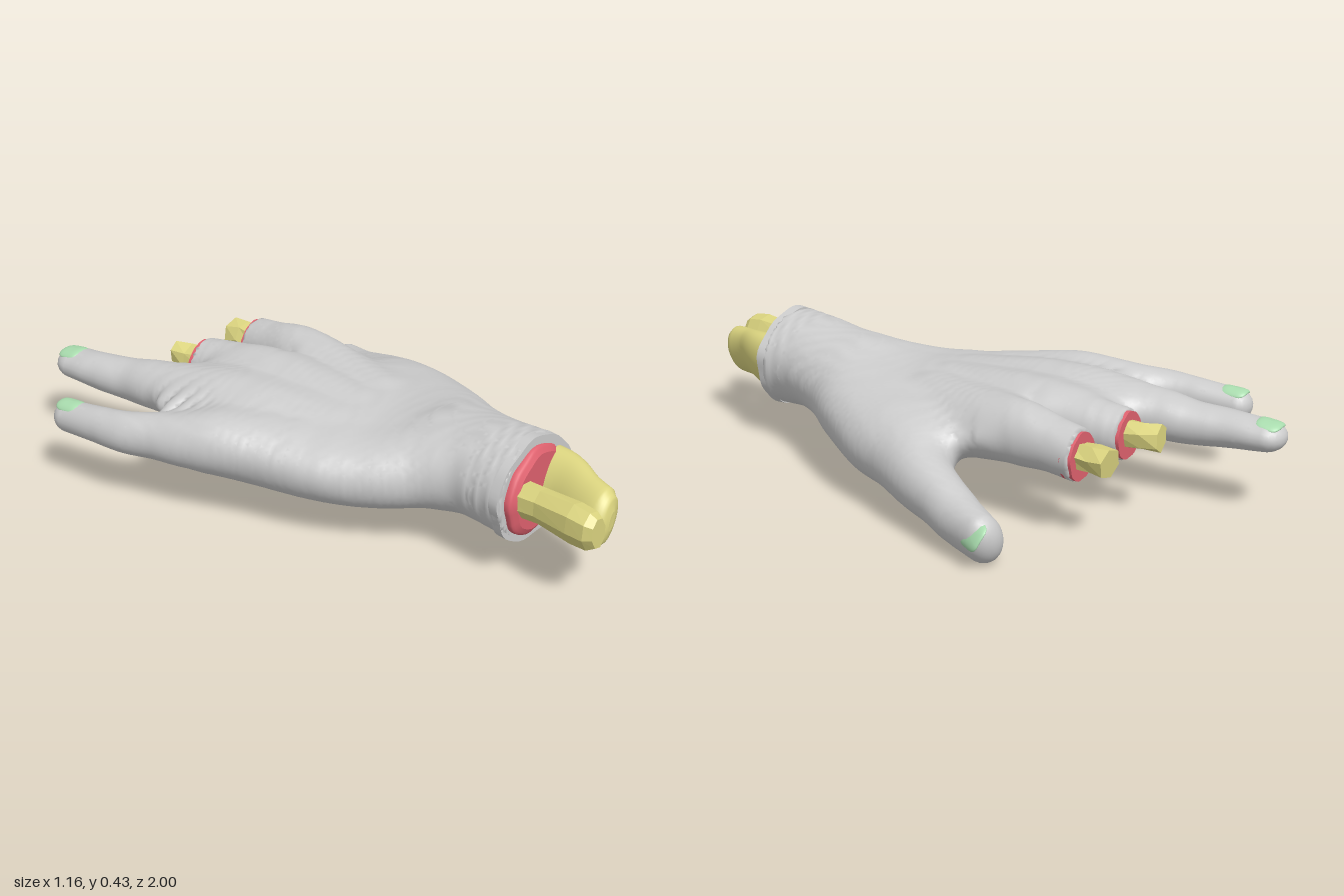
import * as THREE from 'three';

const paint = (color, flatShading = false) => new THREE.MeshStandardMaterial({ color, flatShading });
const SKIN = paint(0xcccccc);
const NAIL = paint(0xa9dcae);
const FLESH = paint(0xe0626f);
const BONE = paint(0xdcd580);
const CHIPPED_BONE = paint(0xdcd580, true);
const UP = new THREE.Vector3(0, 1, 0);

// Smooth run of cross-sections through [x, y, z, halfWidth, halfHeight, roll]
function crossSections(sections, steps) {
  const path = new THREE.CatmullRomCurve3(sections.map(s => new THREE.Vector3(s[0], s[1], s[2])));
  const size = new THREE.CatmullRomCurve3(sections.map(s => new THREE.Vector3(s[3], s[4], s[5] || 0)));
  const count = (sections.length - 1) * steps;
  return Array.from({ length: count + 1 }, (_, i) => {
    const c = path.getPoint(i / count), d = path.getTangent(i / count), s = size.getPoint(i / count);
    const side = new THREE.Vector3().crossVectors(d, UP).normalize().applyAxisAngle(d, -s.z);
    return { c, d, side, up: new THREE.Vector3().crossVectors(side, d), w: s.x, h: s.y };
  });
}

// Closed tube over cross-sections; doubled end rings keep the rims sharp, ragged makes the outline wavy
function loft(name, material, sections, { sides = 40, steps = 4, ragged = 0 } = {}) {
  const body = crossSections(sections, steps);
  const first = body[0], last = body[body.length - 1];
  const rings = [{ ...first, w: 0, h: 0 }, first, ...body, last, { ...last, w: 0, h: 0 }];
  const pos = [], index = [];
  rings.forEach(({ c, side, up, w, h }, i) => {
    for (let j = 0; j < sides; j++) {
      const a = j / sides * Math.PI * 2, r = 1 + ragged * (Math.sin(5 * a) + 0.7 * Math.sin(9 * a + 1));
      const p = c.clone().addScaledVector(side, Math.cos(a) * w * r).addScaledVector(up, Math.sin(a) * h * r);
      pos.push(p.x, p.y, p.z);
      if (i === rings.length - 1) continue;
      const n = i * sides + j, m = i * sides + (j + 1) % sides;
      index.push(n, n + sides, m, m, n + sides, m + sides);
    }
  });
  const geo = new THREE.BufferGeometry();
  geo.setAttribute('position', new THREE.Float32BufferAttribute(pos, 3));
  geo.setIndex(index);
  geo.computeVertexNormals();
  const mesh = new THREE.Mesh(geo, material);
  mesh.name = name;
  return mesh;
}

// A limb is a row of overlapping ellipsoids, sorted into z slabs; cut = z where it is severed
const slab = z => Math.floor((z + 1.5) / 0.04);
function limb(sections, { axial = 0, cut = -2 } = {}) {
  const slabs = Array.from({ length: 80 }, () => []);
  for (const s of crossSections(sections, 8)) {
    const l = axial || s.w, reach = 0.1 + Math.hypot(s.side.z * s.w, s.up.z * s.h, s.d.z * l);
    for (let i = slab(s.c.z - reach); i <= slab(s.c.z + reach); i++) slabs[i].push({ ...s, l });
  }
  return (x, y, z) => {
    let best = 1;
    for (const { c, side, up, d, w, h, l } of slabs[slab(z)]) {
      const px = x - c.x, py = y - c.y, pz = z - c.z;
      const a = (px * side.x + py * side.y + pz * side.z) / w;
      const b = (px * up.x + py * up.y + pz * up.z) / h;
      const e = (px * d.x + py * d.y + pz * d.z) / l;
      const kk = a * a + b * b + e * e;
      if (kk > 9) continue;
      const k = Math.sqrt(kk), aw = a / w, bh = b / h, el = e / l;
      const dist = k * (k - 1) / (Math.sqrt(aw * aw + bh * bh + el * el) + 1e-9);
      if (dist < best) best = dist;
    }
    return Math.max(best, cut - z);
  };
}

function smoothMin(a, b, k) {
  const t = Math.max(k - Math.abs(a - b), 0) / k;
  return Math.min(a, b) - t * t * k / 4;
}

// Meshes the zero surface of a distance rule on a grid, one vertex per crossed cell
function surface(dist, min, max, step) {
  const [nx, ny, nz] = max.map((m, i) => Math.ceil((m - min[i]) / step) + 1);
  const stride = [1, nx, nx * ny];
  const value = new Float32Array(nx * ny * nz).fill(1), vertex = new Int32Array(nx * ny * nz);
  const eachCell = fn => {
    for (let k = 1; k < nz - 1; k++) for (let j = 1; j < ny - 1; j++) for (let i = 1; i < nx - 1; i++) {
      fn(i + j * nx + k * nx * ny, min[0] + i * step, min[1] + j * step, min[2] + k * step);
    }
  };
  eachCell((n, x, y, z) => { value[n] = dist(x, y, z); });
  const pos = [], normal = [], index = [], e = 0.004;
  eachCell((n, x, y, z) => {
    const p = new THREE.Vector3();
    let hits = 0;
    for (let corner = 0; corner < 8; corner++) for (let axis = 0; axis < 3; axis++) {
      if (corner >> axis & 1) continue;
      const m = n + (corner & 1) + (corner >> 1 & 1) * nx + (corner >> 2) * nx * ny;
      const a = value[m], b = value[m + stride[axis]];
      if ((a < 0) === (b < 0)) continue;
      const at = [corner & 1, corner >> 1 & 1, corner >> 2];
      at[axis] = a / (a - b);
      p.add(new THREE.Vector3(...at));
      hits++;
    }
    if (!hits) return;
    // Settle the vertex on the surface and take its normal from the slope
    p.multiplyScalar(step / hits).add(new THREE.Vector3(x, y, z));
    const g = new THREE.Vector3(dist(p.x + e, p.y, p.z) - dist(p.x - e, p.y, p.z),
      dist(p.x, p.y + e, p.z) - dist(p.x, p.y - e, p.z), dist(p.x, p.y, p.z + e) - dist(p.x, p.y, p.z - e)).normalize();
    p.addScaledVector(g, -THREE.MathUtils.clamp(dist(p.x, p.y, p.z), -step / 2, step / 2));
    vertex[n] = pos.length / 3;
    pos.push(p.x, p.y, p.z);
    normal.push(g.x, g.y, g.z);
  });
  eachCell(n => stride.forEach((s, axis) => {
    const inside = value[n] < 0;
    if (inside === (value[n + s] < 0)) return;
    const sb = stride[(axis + 1) % 3], sc = stride[(axis + 2) % 3];
    const q = [n - sb - sc, n - sc, n, n - sb].map(m => vertex[m]);
    if (!inside) q.reverse();
    index.push(q[0], q[1], q[2], q[0], q[2], q[3]);
  }));
  const geo = new THREE.BufferGeometry();
  geo.setAttribute('position', new THREE.Float32BufferAttribute(pos, 3));
  geo.setAttribute('normal', new THREE.Float32BufferAttribute(normal, 3));
  geo.setIndex(index);
  return geo;
}

// Rounded-square plate, curved across its width
function nail(name, at, along, normal, width, length, curve) {
  const geo = new THREE.SphereGeometry(1, 28, 16), p = geo.attributes.position;
  const square = v => Math.sign(v) * Math.abs(v) ** 0.6;
  for (let i = 0; i < p.count; i++) {
    const x = square(p.getX(i)) * width / 2;
    p.setXYZ(i, x, p.getY(i) * 0.009 - curve * x * x, square(p.getZ(i)) * length / 2);
  }
  geo.computeVertexNormals();
  const mesh = new THREE.Mesh(geo, NAIL);
  const z = new THREE.Vector3(...along).normalize(), x = new THREE.Vector3(...normal).cross(z).normalize();
  mesh.quaternion.setFromRotationMatrix(new THREE.Matrix4().makeBasis(x, z.clone().cross(x), z));
  mesh.position.set(...at);
  mesh.name = name;
  return mesh;
}

export function createModel() {
  const hand = new THREE.Group();
  hand.name = 'severedHand';
  const palm = limb([
    [-0.115, 0.272, 0.78, 0.186, 0.165], [-0.09, 0.272, 0.6, 0.176, 0.153], [-0.068, 0.267, 0.5, 0.19, 0.143],
    [-0.05, 0.262, 0.4, 0.215, 0.136], [-0.04, 0.25, 0.3, 0.28, 0.12], [-0.035, 0.243, 0.2, 0.33, 0.115],
    [-0.04, 0.245, 0.1, 0.362, 0.115], [-0.055, 0.25, 0, 0.368, 0.113], [-0.085, 0.26, -0.1, 0.363, 0.108],
    [-0.105, 0.272, -0.2, 0.368, 0.1], [-0.1, 0.278, -0.3, 0.34, 0.092], [-0.035, 0.278, -0.36, 0.25, 0.08],
  ], { axial: 0.07 });
  const heel = limb([
    [-0.17, 0.245, 0.42, 0.09, 0.09], [-0.25, 0.22, 0.25, 0.1, 0.092], [-0.31, 0.216, 0.08, 0.1, 0.088],
    [-0.355, 0.222, -0.1, 0.095, 0.084], [-0.4, 0.24, -0.22, 0.08, 0.08],
  ]);
  const thumb = limb([
    [0, 0.245, 0.48, 0.07, 0.08], [0.1, 0.215, 0.3, 0.13, 0.125], [0.19, 0.193, 0.15, 0.147, 0.125],
    [0.28, 0.182, 0, 0.127, 0.119, -0.1], [0.362, 0.157, -0.1, 0.096, 0.105, -0.25],
    [0.415, 0.133, -0.2, 0.081, 0.092, -0.35], [0.465, 0.106, -0.3, 0.073, 0.084, -0.4],
    [0.506, 0.088, -0.394, 0.062, 0.085, -0.4],
  ]);
  const littleFinger = limb([
    [-0.33, 0.26, 0, 0.06, 0.06], [-0.415, 0.262, -0.2, 0.08, 0.084], [-0.455, 0.255, -0.3, 0.078, 0.082],
    [-0.48, 0.252, -0.4, 0.07, 0.073], [-0.51, 0.248, -0.5, 0.063, 0.066], [-0.517, 0.245, -0.6, 0.057, 0.058],
    [-0.52, 0.24, -0.722, 0.053, 0.051],
  ]);
  const ringFinger = limb([
    [-0.19, 0.275, 0.05, 0.06, 0.06], [-0.215, 0.28, -0.2, 0.086, 0.09], [-0.225, 0.28, -0.33, 0.09, 0.092],
    [-0.235, 0.275, -0.45, 0.084, 0.084], [-0.24, 0.27, -0.6, 0.086, 0.078], [-0.244, 0.262, -0.7, 0.073, 0.068],
    [-0.255, 0.262, -0.8, 0.07, 0.06], [-0.257, 0.262, -0.934, 0.066, 0.048],
  ]);
  const middleFinger = limb([
    [-0.06, 0.285, 0.05, 0.06, 0.06], [-0.035, 0.285, -0.2, 0.088, 0.093], [-0.025, 0.287, -0.33, 0.093, 0.096],
    [-0.02, 0.28, -0.45, 0.088, 0.088], [-0.023, 0.268, -0.62, 0.08, 0.078],
  ], { cut: -0.585 });
  const indexFinger = limb([
    [0.06, 0.28, 0.05, 0.07, 0.07], [0.14, 0.283, -0.2, 0.097, 0.097], [0.165, 0.288, -0.32, 0.094, 0.1],
    [0.185, 0.28, -0.45, 0.081, 0.084], [0.206, 0.266, -0.58, 0.079, 0.078],
  ], { cut: -0.545 });

  // Skin: palm, heel and thumb melt together, each finger melts into them, the wrist is severed flat
  const skin = new THREE.Mesh(surface((x, y, z) => {
    const body = smoothMin(smoothMin(palm(x, y, z), heel(x, y, z), 0.07), thumb(x, y, z), 0.07);
    const fingers = [littleFinger, ringFinger, middleFinger, indexFinger];
    return Math.max(z - 0.712, ...fingers.map(f => smoothMin(body, f(x, y, z), 0.05)).sort((a, b) => a - b).slice(0, 1));
  }, [-0.64, -0.05, -1.05], [0.65, 0.5, 0.76], 0.015), SKIN);
  skin.name = 'handSkin';
  hand.add(skin);

  // Finger stumps: flesh disc and chipped bone
  const stump = (name, [x, y, z, r], bone) => {
    const g = new THREE.Group();
    g.name = name;
    g.add(loft('stumpFlesh', FLESH, [[x, y, z + 0.03, r, r], [x, y, z - 0.008, r, r]], { ragged: 0.02 }));
    g.add(loft('fingerBone', CHIPPED_BONE, bone, { sides: 6, steps: 1 }));
    hand.add(g);
  };
  stump('middleFingerStump', [-0.023, 0.27, -0.585, 0.074], [[-0.025, 0.275, -0.56, 0.047, 0.047, 0.2],
    [-0.027, 0.275, -0.64, 0.049, 0.044, 0.4], [-0.03, 0.278, -0.695, 0.038, 0.046, 0.6]]);
  stump('indexFingerStump', [0.201, 0.268, -0.545, 0.074], [[0.203, 0.27, -0.52, 0.047, 0.045, 0.3],
    [0.21, 0.275, -0.6, 0.049, 0.044, 0.1], [0.216, 0.27, -0.65, 0.052, 0.048, 0.3]]);

  hand.add(nail('thumbNail', [0.555, 0.12, -0.385], [0.44, -0.15, -0.88], [0.75, 0.5, 0.37], 0.09, 0.11, 5));
  hand.add(nail('littleFingerNail', [-0.52, 0.288, -0.715], [0, -0.05, -1], [0, 1, 0], 0.074, 0.09, 9));
  hand.add(nail('ringFingerNail', [-0.258, 0.304, -0.945], [0, -0.12, -1], [0, 1, 0], 0.088, 0.082, 5));

  // Open wrist: torn skin rim, flesh and the two forearm bones
  hand.add(loft('wristRim', SKIN, [[-0.109, 0.272, 0.69, 0.178, 0.16], [-0.112, 0.272, 0.722, 0.181, 0.162]],
    { sides: 56, ragged: 0.022 }));
  hand.add(loft('wristFlesh', FLESH, [[-0.112, 0.27, 0.69, 0.15, 0.135], [-0.112, 0.27, 0.725, 0.154, 0.138],
    [-0.112, 0.27, 0.742, 0.13, 0.116]], { ragged: 0.02 }));
  hand.add(loft('smallForearmBone', CHIPPED_BONE, [
    [-0.19, 0.278, 0.66, 0.052, 0.062, -0.3], [-0.2, 0.278, 0.8, 0.047, 0.06, -0.3],
    [-0.222, 0.275, 0.92, 0.052, 0.072, -0.25], [-0.23, 0.272, 0.975, 0.05, 0.067, -0.25],
    [-0.231, 0.272, 0.998, 0.036, 0.052, -0.25],
  ], { sides: 8, steps: 1 }));
  hand.add(loft('largeForearmBone', BONE, [
    [-0.03, 0.26, 0.68, 0.067, 0.113, 0.35], [-0.045, 0.258, 0.78, 0.062, 0.109, 0.38],
    [-0.09, 0.255, 0.87, 0.054, 0.094, 0.4], [-0.115, 0.25, 0.94, 0.056, 0.09, 0.4],
    [-0.118, 0.25, 0.97, 0.042, 0.07, 0.4], [-0.118, 0.25, 0.98, 0.015, 0.03, 0.4],
  ]));
  return hand;
}
